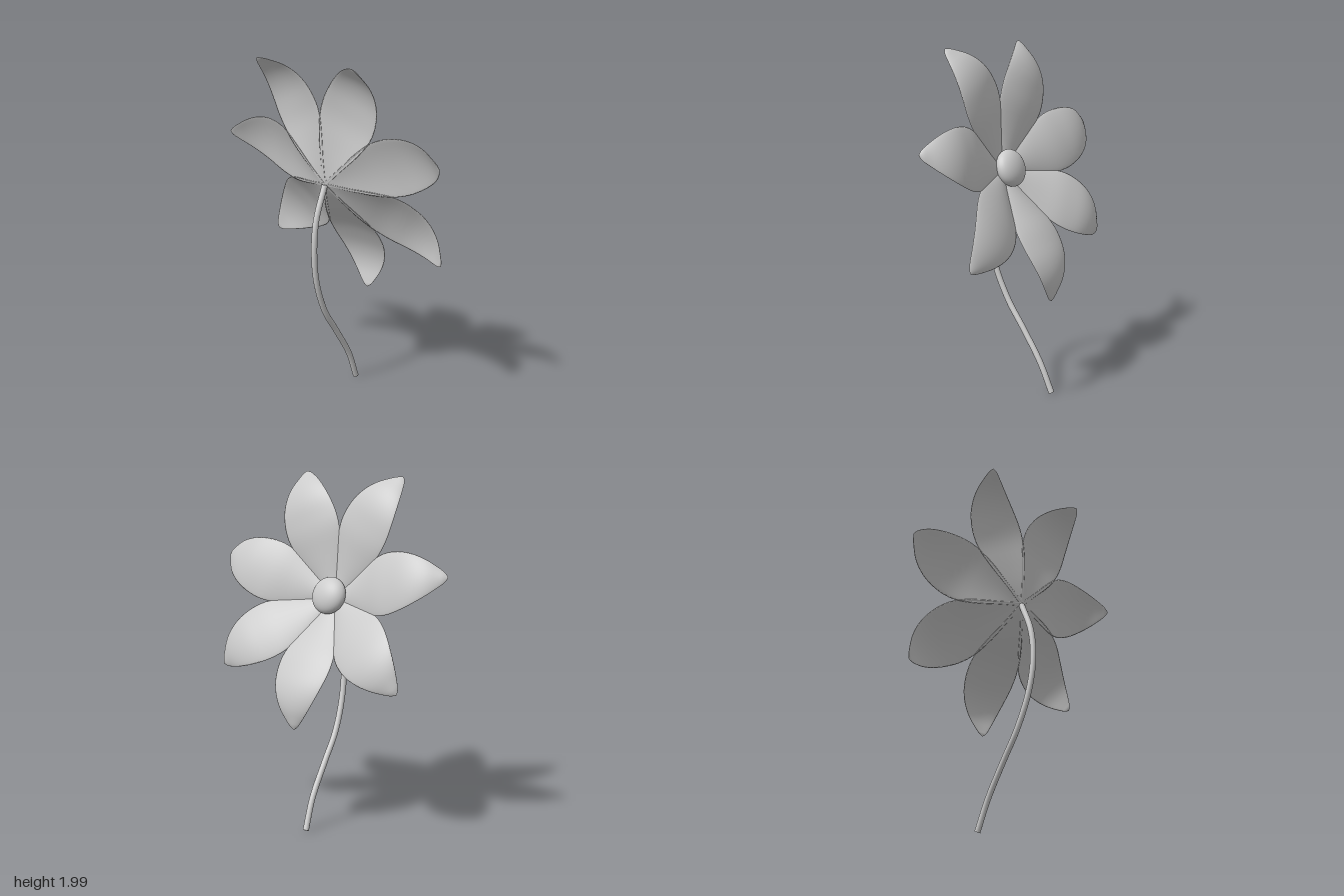
import * as THREE from 'three';

const material = new THREE.MeshStandardMaterial({ color: 0xcccccc, side: THREE.DoubleSide });
const PETALS = 7;
const ROOT = new THREE.Vector3(-0.09, 1.29, 0.01);

function part(name, geometry) {
  const mesh = new THREE.Mesh(geometry, material);
  mesh.name = name;
  return mesh;
}

// Smooth curve through [distance, value] pairs
function curveOf(pairs) {
  return new THREE.SplineCurve(pairs.map(([a, b]) => new THREE.Vector2(a, b)));
}

// Petal along +y, facing +z: thin closed cross-sections that widen, arch and curl back
function petalGeometry() {
  const rows = 32, sides = 24, thickness = 0.007;
  const width = curveOf([[0, 0.012], [0.12, 0.068], [0.24, 0.128], [0.35, 0.168], [0.44, 0.175],
    [0.53, 0.16], [0.61, 0.132], [0.68, 0.095], [0.74, 0.05], [0.765, 0.026], [0.78, 0.003]]);
  const height = curveOf([[0, 0], [0.12, 0.042], [0.24, 0.09], [0.35, 0.135], [0.44, 0.16],
    [0.53, 0.176], [0.61, 0.174], [0.68, 0.155], [0.74, 0.122], [0.765, 0.106], [0.78, 0.097]]);
  const positions = [], index = [];
  for (let i = 0; i <= rows; i++) {
    const w = width.getPoint(i / rows), h = height.getPoint(i / rows);
    const t = thickness * Math.min(1, w.y / 0.03);
    for (let j = 0; j < sides; j++) {
      const a = (j / sides) * Math.PI * 2, c = Math.cos(a);
      const arch = -0.022 * c * c * Math.min(1, w.y / 0.17);
      positions.push(c * w.y, w.x, h.y + arch + Math.sin(a) * t);
      if (i < rows) {
        const p = i * sides + j, q = i * sides + ((j + 1) % sides);
        index.push(p, p + sides, q, q, p + sides, q + sides);
      }
    }
  }
  const geometry = new THREE.BufferGeometry();
  geometry.setAttribute('position', new THREE.Float32BufferAttribute(positions, 3));
  geometry.setIndex(index);
  geometry.computeVertexNormals();
  return geometry;
}

export function createModel() {
  const model = new THREE.Group();
  model.name = 'flower';

  // Curved stem with flat ends
  const path = new THREE.CatmullRomCurve3([
    [0.222, 0.008, -0.075], [0.15, 0.18, -0.055], [0.03, 0.37, -0.033], [-0.07, 0.52, -0.014],
    [-0.15, 0.72, 0.01], [-0.178, 0.92, 0.024], [-0.16, 1.1, 0.022], [-0.088, 1.285, 0.01],
  ].map((p) => new THREE.Vector3(...p)));
  model.add(part('stem', new THREE.TubeGeometry(path, 64, 0.017, 16)));
  for (const [name, t, sign] of [['stemBottom', 0, -1], ['stemTop', 1, 1]]) {
    const cap = part(name, new THREE.CircleGeometry(0.017, 16));
    cap.position.copy(path.getPoint(t));
    cap.quaternion.setFromUnitVectors(new THREE.Vector3(0, 0, 1),
      path.getTangent(t).multiplyScalar(sign));
    model.add(cap);
  }

  // Flower head: local z is the direction it faces
  const head = new THREE.Group();
  head.name = 'flowerHead';
  const facing = new THREE.Vector3(1, 0.364, -0.164).normalize();
  const side = new THREE.Vector3(0, 1, -0.03).cross(facing).normalize();
  const up = facing.clone().cross(side);
  head.quaternion.setFromRotationMatrix(new THREE.Matrix4().makeBasis(side, up, facing));
  head.position.copy(ROOT);
  model.add(head);

  // Ring of petals, one pointing straight down
  const petal = petalGeometry();
  for (let i = 0; i < PETALS; i++) {
    const mesh = part('petal', petal);
    mesh.rotation.z = Math.PI + (i / PETALS) * Math.PI * 2;
    head.add(mesh);
  }

  // Flattened round centre
  const centre = part('flowerCentre', new THREE.SphereGeometry(0.107, 32, 20));
  centre.scale.z = 0.56;
  centre.position.z = 0.063;
  head.add(centre);

  return model;
}
